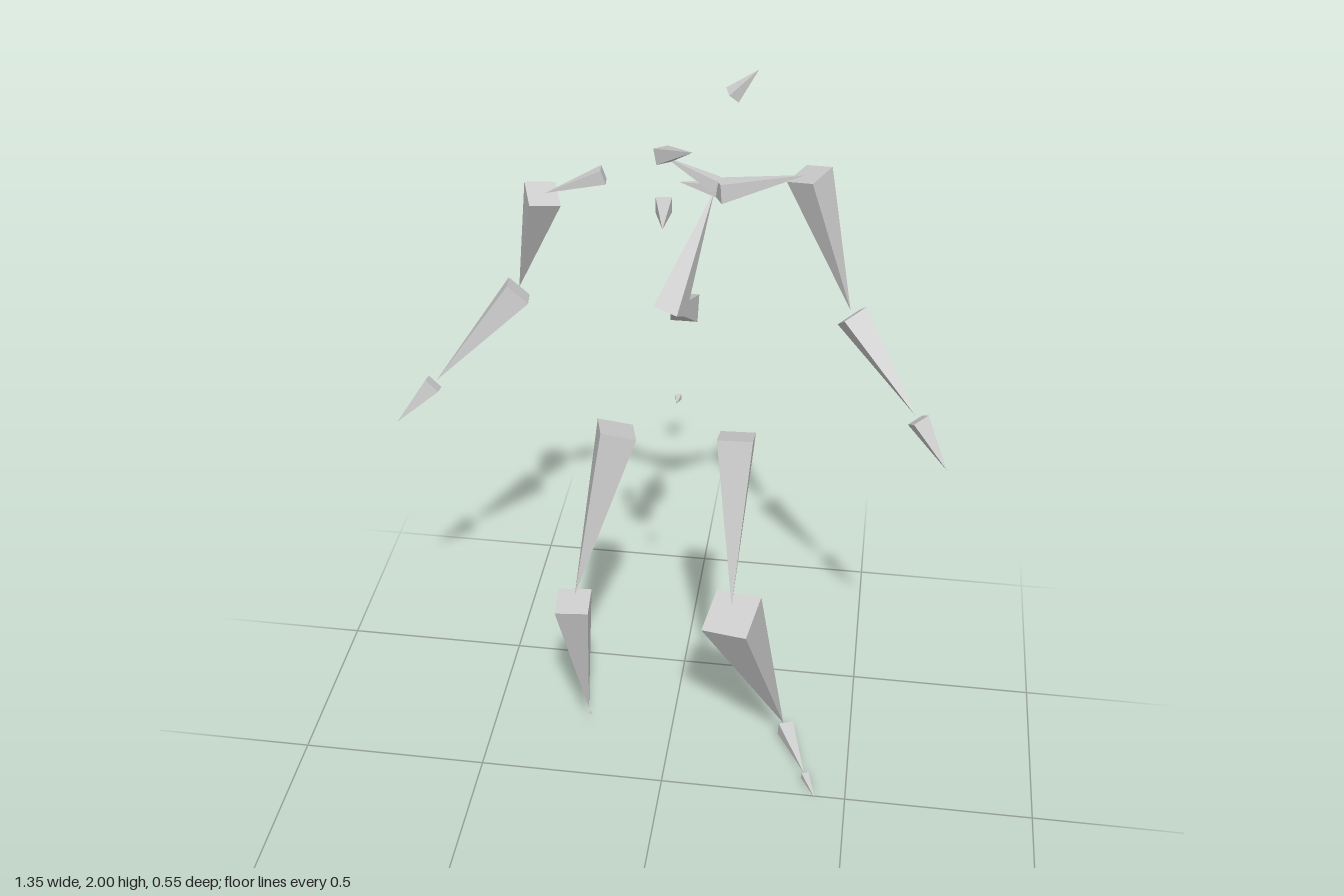
import * as THREE from 'three';

const boneGrey = new THREE.MeshStandardMaterial({ color: 0xcccccc });
boneGrey.name = 'boneGrey';

// Square pyramid from the centre of its base to its point; roll turns the base (degrees)
function bone(name, base, tip, width, roll) {
  const dir = tip.clone().sub(base);
  const length = dir.length();
  dir.normalize();
  const r = THREE.MathUtils.degToRad(roll);
  const side = new THREE.Vector3(Math.cos(r), 0, -Math.sin(r));
  side.addScaledVector(dir, -side.dot(dir)).normalize();
  const front = new THREE.Vector3().crossVectors(side, dir);

  const cone = new THREE.ConeGeometry(width / Math.SQRT2, length, 4, 1);
  cone.rotateY(Math.PI / 4);
  cone.translate(0, length / 2, 0);
  const geometry = cone.toNonIndexed();
  geometry.applyMatrix4(new THREE.Matrix4().makeBasis(side, dir, front).setPosition(base));
  geometry.computeVertexNormals();
  const mesh = new THREE.Mesh(geometry, boneGrey);
  mesh.name = name;
  return mesh;
}

// Bones from joint to joint; every point but the last stops just short of the next joint
function chain(name, start, ...links) {
  const group = new THREE.Group();
  group.name = name;
  let base = new THREE.Vector3(...start);
  links.forEach(({ part, to, width, roll }, i) => {
    const joint = new THREE.Vector3(...to);
    const reach = i < links.length - 1 ? 0.96 : 1;
    group.add(bone(part, base, base.clone().lerp(joint, reach), width, roll));
    base = joint;
  });
  return group;
}

export function createModel() {
  const model = new THREE.Group();
  model.name = 'skeletonRig';

  // Torso, neck and head
  model.add(
    chain('hips', [0.02, 1.15, -0.155],
      { part: 'pelvis', to: [0.02, 1.155, -0.115], width: 0.014, roll: 0 }),
    chain('spine', [0.02, 1.338, -0.262],
      { part: 'lowerSpine', to: [0.02, 1.483, 0.015], width: 0.066, roll: 0 },
      { part: 'upperSpine', to: [0.108, 1.745, -0.097], width: 0.06, roll: -15 },
      { part: 'neck', to: [-0.013, 1.807, -0.098], width: 0.03, roll: 90 },
      { part: 'head', to: [0.067, 1.867, 0.01], width: 0.036, roll: 35 }),
    chain('chest', [0.11, 1.735, -0.1],
      { part: 'chestJoint', to: [0.025, 1.745, -0.1], width: 0.03, roll: 90 }),
    chain('face', [0.026, 1.815, 0.157],
      { part: 'facePoint', to: [0.04, 1.82, 0.277], width: 0.034, roll: 0 }),
    chain('headTop', [0.135, 1.942, -0.128],
      { part: 'crown', to: [0.19, 2, -0.135], width: 0.03, roll: 20 }),
  );

  // Arms
  model.add(
    chain('leftArm', [0.112, 1.733, -0.092],
      { part: 'leftCollar', to: [0.307, 1.745, -0.178], width: 0.045, roll: 70 },
      { part: 'leftUpperArm', to: [0.423, 1.389, -0.188], width: 0.075, roll: -32 },
      { part: 'leftForearm', to: [0.596, 1.178, -0.088], width: 0.064, roll: -55 },
      { part: 'leftHand', to: [0.673, 1.07, -0.046], width: 0.042, roll: -55 }),
    chain('rightArm', [-0.148, 1.74, -0.123],
      { part: 'rightCollar', to: [-0.285, 1.692, -0.107], width: 0.034, roll: 90 },
      { part: 'rightUpperArm', to: [-0.378, 1.378, -0.217], width: 0.072, roll: 20 },
      { part: 'rightForearm', to: [-0.588, 1.14, -0.146], width: 0.066, roll: 90 },
      { part: 'rightHand', to: [-0.68, 1.04, -0.113], width: 0.042, roll: 80 }),
  );

  // Legs
  model.add(
    chain('leftLeg', [0.165, 1.055, -0.143],
      { part: 'leftThigh', to: [0.178, 0.615, 0.002], width: 0.088, roll: 0 },
      { part: 'leftShin', to: [0.32, 0.033, -0.225], width: 0.122, roll: -14 },
      { part: 'leftFoot', to: [0.387, 0.012, -0.066], width: 0.042, roll: 22 },
      { part: 'leftToe', to: [0.42, 0.006, 0.013], width: 0.02, roll: 22 }),
    chain('rightLeg', [-0.131, 1.05, -0.142],
      { part: 'rightThigh', to: [-0.236, 0.573, -0.042], width: 0.09, roll: 14 },
      { part: 'rightShin', to: [-0.217, 0.12, -0.12], width: 0.086, roll: 3 },
      { part: 'rightFoot', to: [-0.208, 0.114, -0.116], width: 0.008, roll: 90 }),
  );
  return model;
}
